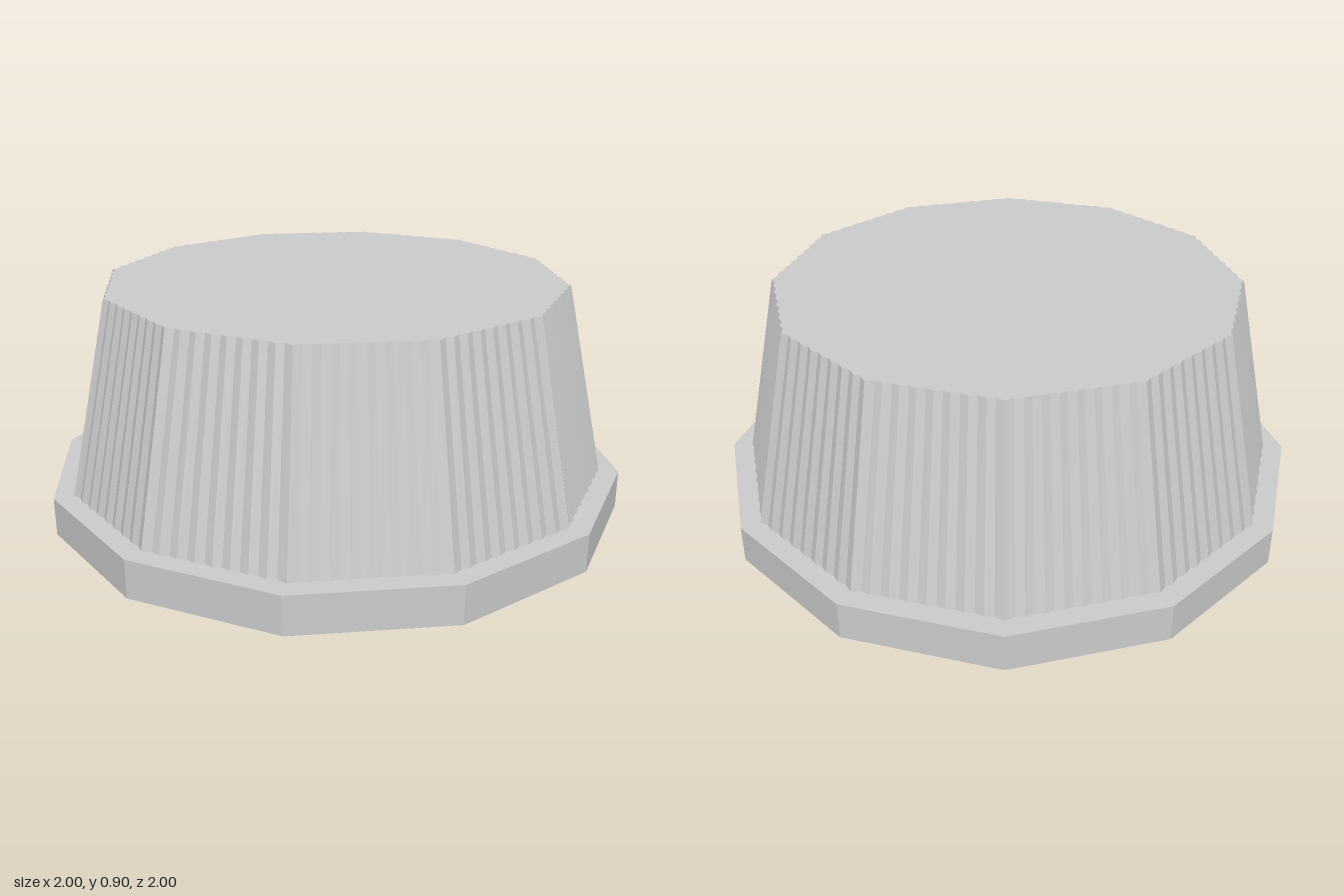
import * as THREE from 'three';

const SIDES = 12;
const RIBS = 8; // ribs on each facet
const STEPS = RIBS * 2;
const RIB_DEPTH = 0.008;

// Tapered twelve-sided body whose flat facets are pleated by shallow ribs
function ribbedGeometry(topRadius, bottomRadius, height) {
  const geometry = new THREE.CylinderGeometry(topRadius, bottomRadius, height, SIDES * STEPS);
  const position = geometry.attributes.position;
  const sector = (Math.PI * 2) / SIDES;
  for (let i = 0; i < position.count; i++) {
    const x = position.getX(i), z = position.getZ(i);
    const radius = Math.hypot(x, z);
    if (radius < 0.01) continue; // cap centres
    const step = Math.round((Math.atan2(x, z) / (Math.PI * 2)) * SIDES * STEPS + SIDES * STEPS);
    const within = ((step % STEPS) / STEPS) * sector;
    // pull the round outline onto the straight chord, then sink every second line
    const chord = (radius * Math.cos(sector / 2)) / Math.cos(within - sector / 2);
    const scale = (chord - (step % 2) * RIB_DEPTH) / radius;
    position.setX(i, x * scale);
    position.setZ(i, z * scale);
  }
  geometry.computeVertexNormals();
  return geometry;
}

export function createModel() {
  const group = new THREE.Group();
  group.name = 'controlKnob';
  const material = new THREE.MeshStandardMaterial({ color: 0xcccccc, flatShading: true });

  const add = (name, geometry, y) => {
    const mesh = new THREE.Mesh(geometry, material);
    mesh.name = name;
    mesh.position.y = y;
    group.add(mesh);
  };

  // Hexagonal shaft, skirt flange and ribbed grip, stacked upwards
  add('shaft', new THREE.CylinderGeometry(0.24, 0.24, 0.11, 6), 0.055);
  add('flange', new THREE.CylinderGeometry(1, 1, 0.13, SIDES), 0.175);
  add('ribbedGrip', ribbedGeometry(0.79, 0.933, 0.66), 0.57);

  return group;
}
